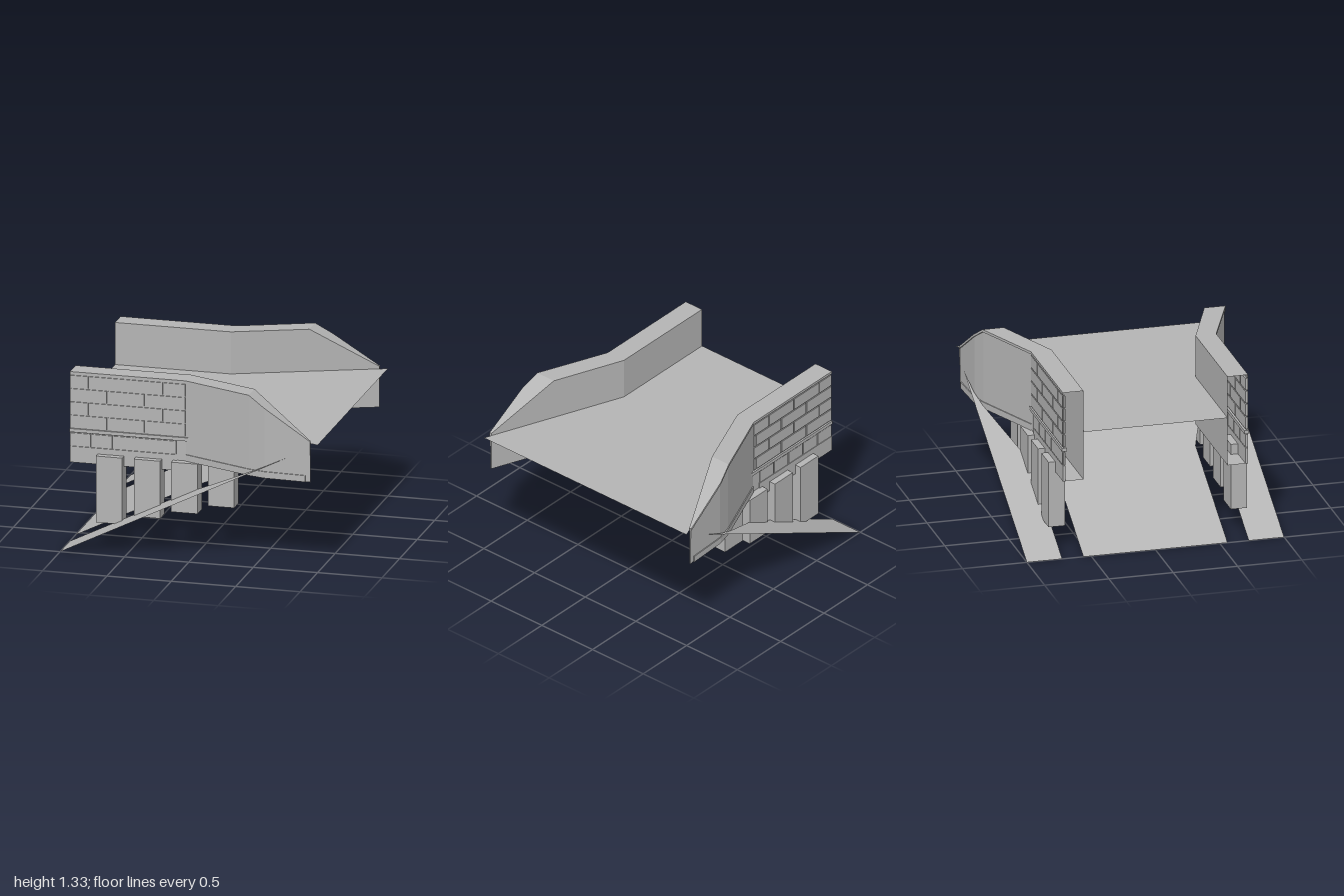
import * as THREE from 'three';

const stone = new THREE.MeshStandardMaterial({ color: 0xb4b4b4, side: THREE.DoubleSide });
stone.name = 'grey stone';
const solidStone = stone;

// Plan lines of the wall as [x, z]: inner face and outer face
const innerLine = [[-1, 0.56], [-0.1, 0.56], [0.45, 0.78], [0.94, 0.976], [1, 1]];
const outerLine = [[-1, 0.72], [-0.1, 0.72], [0.45, 0.945], [0.58, 0.978], [0.94, 0.994], [1, 1]];

function at(line, x) {
  for (let i = 1; i < line.length; i++) {
    const [x0, z0] = line[i - 1], [x1, z1] = line[i];
    if (x <= x1) return z0 + (z1 - z0) * (x - x0) / (x1 - x0);
  }
  return line[line.length - 1][1];
}

function add(parent, name, geometry) {
  const mesh = new THREE.Mesh(geometry, solidStone);
  mesh.name = name;
  parent.add(mesh);
  return mesh;
}

function box(parent, name, x0, x1, y0, y1, z0, z1) {
  const mesh = add(parent, name, new THREE.BoxGeometry(x1 - x0, y1 - y0, Math.abs(z1 - z0)));
  mesh.position.set((x0 + x1) / 2, (y0 + y1) / 2, (z0 + z1) / 2);
}

// Thin sheet with a plan outline [x, z], its height given by x
function sheet(parent, name, outline, height, down = false) {
  const shape = new THREE.Shape(outline.map(([x, z]) => new THREE.Vector2(x, -z)));
  const g = new THREE.ShapeGeometry(shape);
  const p = g.attributes.position;
  for (let i = 0; i < p.count; i++) p.setXYZ(i, p.getX(i), height(p.getX(i)), -p.getY(i));
  if (down) g.setIndex([...g.index.array].reverse());
  g.computeVertexNormals();
  return add(parent, name, g);
}

// Join rings of [x, y, z] along x with flat faces, closing the +x end
function loft(rings, side) {
  const v = [];
  const tri = (a, b, c) => {
    for (const q of side > 0 ? [a, b, c] : [a, c, b]) v.push(q[0], q[1], q[2] * side);
  };
  const n = rings[0].length;
  for (let k = 1; k < rings.length; k++) {
    const a = rings[k - 1], b = rings[k];
    for (let i = 0; i < n; i++) {
      const j = (i + 1) % n;
      tri(a[i], a[j], b[j]);
      tri(a[i], b[j], b[i]);
    }
  }
  const end = rings[rings.length - 1];
  for (let i = 1; i < n - 1; i++) tri(end[0], end[i], end[i + 1]);
  const g = new THREE.BufferGeometry();
  g.setAttribute('position', new THREE.Float32BufferAttribute(v, 3));
  g.computeVertexNormals();
  return g;
}

const topAt = x => (x <= 0.45 ? 1.33 : 1.33 - (x - 0.45) * 0.31 / 0.49);

// Wall section with a slim projecting cap along its outer top edge
function wallRing(x, bottom) {
  const zi = at(innerLine, x), zo = at(outerLine, x), top = topAt(x), lip = 0.008;
  return [[x, bottom, zi], [x, top, zi], [x, top, zo], [x, top - 0.02, zo],
    [x, top - 0.02, zo - lip], [x, bottom, zo - lip]];
}

// Low band along the foot of the wing
function bandRing(x) {
  const zo = at(outerLine, x);
  return [[x, 0.7, zo - 0.02], [x, 0.75, zo - 0.02], [x, 0.75, zo], [x, 0.7, zo]];
}

function buildWall(side) {
  const wall = new THREE.Group();
  wall.name = side > 0 ? 'frontWall' : 'backWall';

  const stations = [[-1, 0.62], [-0.1, 0.62], [-0.1, 0.7], [0.45, 0.7], [0.58, 0.7], [0.94, 0.7]];
  add(wall, 'parapet', loft(stations.map(([x, b]) => wallRing(x, b)), side));
  add(wall, 'footBand', loft([-0.1, 0.45, 0.58, 0.9].map(bandRing), side));

  // Staggered brick courses
  const gap = 0.005, z0 = side * 0.7, z1 = side * 0.72;
  for (let row = 0; row < 4; row++) {
    const y = 0.89 + row * 0.104, w = 0.29;
    for (let x = -1 - (row % 2) * w / 2; x < -0.12; x += w) {
      const a = Math.max(x, -1), b = Math.min(x + w, -0.1);
      box(wall, 'brick', a + gap, b - gap, y + gap, y + 0.104 - gap, z0, z1);
    }
  }
  // Smaller blocks below the moulding
  for (let i = 0; i < 5; i++) {
    const x = -1 + i * 0.166;
    box(wall, 'lowerBlock', x + gap, x + 0.166 - gap, 0.75, 0.85, z0, z1);
  }
  box(wall, 'moulding', -1, -0.05, 0.858, 0.885, side * 0.69, side * 0.726);
  box(wall, 'plinth', -1, -0.17, 0.62, 0.745, side * 0.7, side * 0.72);

  // Piers stepping up the slope
  [[-0.785, 0.18], [-0.49, 0.25], [-0.2, 0.31], [0.085, 0.38]].forEach(([x, y]) =>
    box(wall, 'pier', x, x + 0.205, y, 0.7, side * 0.645, side * 0.772));
  return wall;
}

// Full outline from one side line, mirrored in z
const mirrored = line => [...line, ...line.map(([x, z]) => [x, -z]).reverse()];

export function createModel() {
  const model = new THREE.Group();
  model.name = 'bridgeEnd';
  const slope = x => (x + 1) * 0.5;

  sheet(model, 'road', mirrored(innerLine), () => 1.0);

  // Underside of the deck, facing the ground
  const under = sheet(model, 'deckUnderside',
    mirrored([[0.42, at(innerLine, 0.42)], [0.45, 0.945], [0.58, 0.978], [1, 1]]), () => 0.715, true);
  under.material = new THREE.MeshStandardMaterial({ color: 0xb4b4b4 });
  under.material.name = 'grey underside';

  // Embankment between and outside the walls
  sheet(model, 'embankment', mirrored([[-1, 0.56], [-0.1, 0.56], [0.43, at(innerLine, 0.43)]]), slope);
  for (const s of [1, -1]) {
    sheet(model, 'outerBank',
      [[-1, 0.725], [-0.1, 0.725], [0.45, 0.945], [0.58, 0.978], [0.78, 1], [-1, 1]].map(([x, z]) => [x, z * s]), slope);
    model.add(buildWall(s));
  }
  return model;
}
